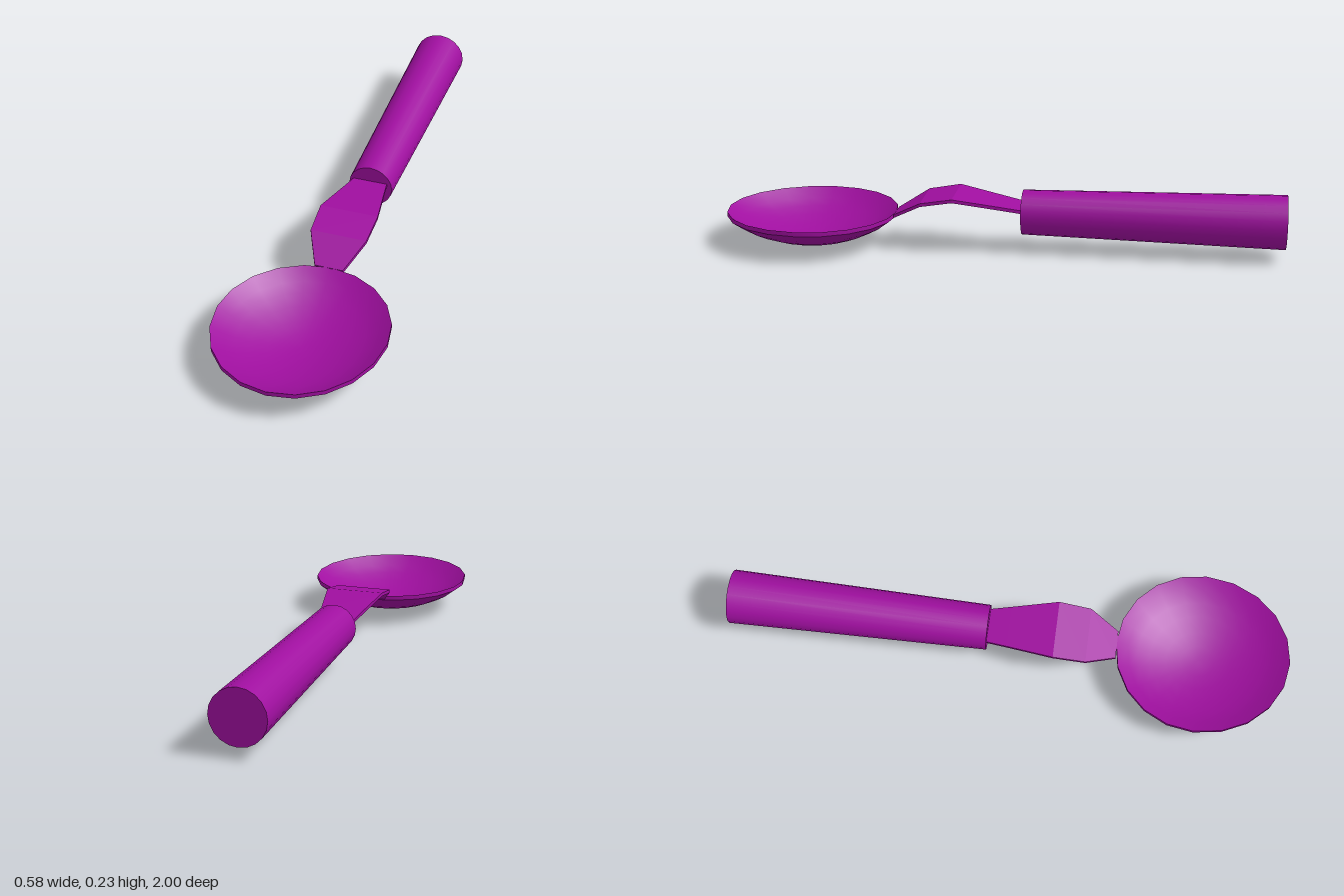
import * as THREE from 'three';
import { toCreasedNormals } from 'three/addons/utils/BufferGeometryUtils.js';

const material = new THREE.MeshStandardMaterial({ color: 0xa00fa0 });

function part(name, geometry) {
  const mesh = new THREE.Mesh(geometry, material);
  mesh.name = name;
  return mesh;
}

// Thin shell turned from a profile, slightly longer toward the tip
function bowlGeometry() {
  const wall = 0.016;
  const curve = [[0, 0], [0.06, 0.004], [0.11, 0.014], [0.165, 0.031], [0.21, 0.05], [0.25, 0.072], [0.292, 0.104]];
  const outer = curve.map(([r, y]) => new THREE.Vector2(r, y));
  const inner = curve.map(([r, y]) => new THREE.Vector2(r, y + wall)).reverse();
  const geometry = new THREE.LatheGeometry([...outer, ...inner], 20);
  const p = geometry.attributes.position;
  for (let i = 0; i < p.count; i++) {
    const z = p.getZ(i);
    p.setZ(i, 0.68 + z * (z > 0 ? 0.32 : 0.298) / 0.292);
  }
  return toCreasedNormals(geometry, 0.6);
}

// Bent flat strip lofted through rectangular sections: [z, top y, half width]
function neckGeometry() {
  const sections = [
    [0.385, 0.12, 0.05], [0.28, 0.18, 0.1], [0.165, 0.2, 0.104],
    [0, 0.171, 0.075], [-0.1, 0.153, 0.058],
  ];
  const thickness = 0.012;
  const positions = [];
  const index = [];
  for (const [z, y, w] of sections) {
    positions.push(-w, y, z, w, y, z, w, y - thickness, z, -w, y - thickness, z);
  }
  for (let s = 0; s < sections.length - 1; s++) {
    for (let k = 0; k < 4; k++) {
      const a = s * 4 + k, b = s * 4 + (k + 1) % 4;
      index.push(a, b, b + 4, a, b + 4, a + 4);
    }
  }
  const e = (sections.length - 1) * 4;
  index.push(0, 3, 2, 0, 2, 1, e, e + 1, e + 2, e, e + 2, e + 3);
  const geometry = new THREE.BufferGeometry();
  geometry.setAttribute('position', new THREE.Float32BufferAttribute(positions, 3));
  geometry.setIndex(index);
  return toCreasedNormals(geometry, 0.2);
}

export function createModel() {
  const group = new THREE.Group();
  group.name = 'spoon';
  group.add(part('bowl', bowlGeometry()));

  const neck = part('neck', neckGeometry());
  neck.position.x = -0.008;
  group.add(neck);

  // Round grip, widening toward the butt end
  const handle = part('handle', new THREE.CylinderGeometry(0.08, 0.096, 0.925, 20));
  handle.rotation.x = Math.PI / 2;
  handle.position.set(-0.007, 0.135, -0.5375);
  group.add(handle);
  return group;
}
